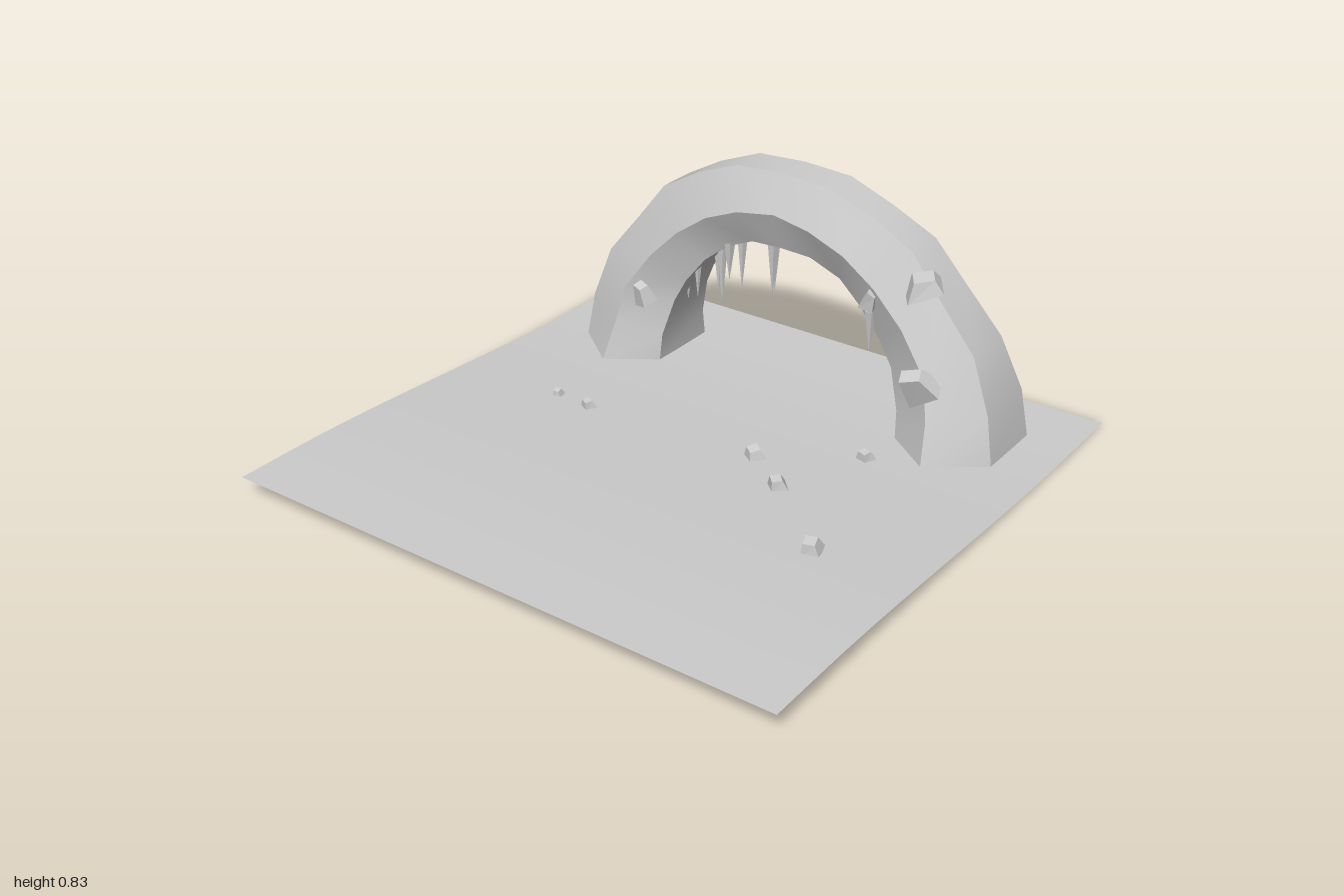
import * as THREE from 'three';

const grey = new THREE.MeshStandardMaterial({ color: 0xcccccc, side: THREE.DoubleSide });
const flat = new THREE.MeshStandardMaterial({ color: 0xcccccc, flatShading: true });

const groundHeight = z => 0.062 * THREE.MathUtils.smoothstep(z, -0.7, 0.8);

// Stations from foot to crown:
// outer x,y | ridge x,y | inner x,y | z of outer front/back, ridge front/back, inner front/back
const HALF = [
  [0.83, 0.00, 0.65, 0.00, 0.485, 0.00, -0.52, -0.78, -0.375, -0.89, -0.50, -0.78],
  [0.80, 0.17, 0.63, 0.14, 0.480, 0.10, -0.53, -0.77, -0.430, -0.85, -0.51, -0.76],
  [0.73, 0.36, 0.60, 0.28, 0.440, 0.24, -0.54, -0.73, -0.455, -0.81, -0.53, -0.73],
  [0.60, 0.52, 0.50, 0.42, 0.390, 0.33, -0.54, -0.71, -0.470, -0.77, -0.53, -0.70],
  [0.49, 0.66, 0.39, 0.53, 0.310, 0.43, -0.54, -0.69, -0.475, -0.75, -0.53, -0.69],
  [0.34, 0.745, 0.27, 0.615, 0.225, 0.50, -0.54, -0.67, -0.475, -0.74, -0.54, -0.67],
  [0.18, 0.81, 0.14, 0.67, 0.115, 0.55, -0.53, -0.665, -0.470, -0.745, -0.53, -0.67],
  [0.00, 0.82, 0.00, 0.69, 0.000, 0.555, -0.535, -0.665, -0.480, -0.727, -0.53, -0.67],
];

// Six corners of one cross-section, going round the arch
function section([ox, oy, rx, ry, ix, iy, of, ob, rf, rb, nf, nb], side) {
  return [
    [ox * side, oy, of], [ox * side, oy, ob], [rx * side, ry, rb],
    [ix * side, iy, nb], [ix * side, iy, nf], [rx * side, ry, rf],
  ];
}

// One band per side of the hexagon: smooth along the arch, sharp between bands
function buildArch() {
  const arch = new THREE.Group();
  arch.name = 'arch';
  const rings = [
    ...HALF.map(r => section(r, -1)),
    ...HALF.slice(0, -1).reverse().map(r => section(r, 1)),
  ];
  for (let k = 0; k < 6; k++) {
    const pos = [], idx = [];
    rings.forEach((ring, i) => {
      pos.push(...ring[k], ...ring[(k + 1) % 6]);
      if (i > 0) {
        const a = 2 * (i - 1);
        idx.push(a, a + 2, a + 1, a + 1, a + 2, a + 3);
      }
    });
    addSurface(arch, 'archBand', pos, idx);
  }
  // Soles of the feet, facing down
  [rings[0], rings[rings.length - 1]].forEach((ring, end) => {
    const idx = [];
    for (let k = 1; k < 5; k++) idx.push(0, ...(end ? [k + 1, k] : [k, k + 1]));
    addSurface(arch, 'footSole', ring.flat(), idx);
  });
  return arch;
}

function addSurface(parent, name, pos, idx) {
  const geo = new THREE.BufferGeometry();
  geo.setAttribute('position', new THREE.Float32BufferAttribute(pos, 3));
  geo.setIndex(idx);
  geo.computeVertexNormals();
  const mesh = new THREE.Mesh(geo, grey);
  mesh.name = name;
  parent.add(mesh);
}

// Chipped stone: a box with a narrow, skewed top
function addStone(parent, name, [x, y, z], [w, h, d], [rx, ry, rz]) {
  const geo = new THREE.BoxGeometry(w, h, d);
  const p = geo.attributes.position;
  for (let i = 0; i < p.count; i++) {
    if (p.getY(i) > 0) {
      p.setX(i, p.getX(i) * 0.55 + w * 0.12);
      p.setZ(i, p.getZ(i) * 0.6);
      if (p.getX(i) > w * 0.2) p.setY(i, p.getY(i) * 0.6);
    }
  }
  const mesh = new THREE.Mesh(geo, flat);
  mesh.name = name;
  mesh.position.set(x, y, z);
  mesh.rotation.set(rx, ry, rz);
  parent.add(mesh);
}

export function createModel() {
  const model = new THREE.Group();
  model.name = 'iceArch';

  // Gently rising ground sheet
  const geo = new THREE.PlaneGeometry(2, 2, 16, 24).rotateX(-Math.PI / 2);
  const p = geo.attributes.position;
  for (let i = 0; i < p.count; i++) p.setY(i, groundHeight(p.getZ(i)));
  geo.computeVertexNormals();
  const ground = new THREE.Mesh(geo, grey);
  ground.name = 'ground';
  model.add(ground);

  model.add(buildArch());

  // Icicles under the arch: x, top y, tip y, z
  const icicles = new THREE.Group();
  icicles.name = 'icicles';
  [
    [-0.43, 0.38, 0.22, -0.60], [-0.36, 0.47, 0.26, -0.56], [-0.32, 0.48, 0.25, -0.63],
    [-0.27, 0.52, 0.25, -0.58], [-0.235, 0.53, 0.29, -0.65], [-0.22, 0.53, 0.37, -0.55],
    [-0.08, 0.57, 0.33, -0.62], [-0.05, 0.57, 0.35, -0.56], [0.30, 0.47, 0.34, -0.62],
    [0.33, 0.46, 0.25, -0.57], [0.36, 0.43, 0.28, -0.52], [0.395, 0.40, 0.23, -0.62],
  ].forEach(([x, top, tip, z]) => {
    const cone = new THREE.Mesh(new THREE.ConeGeometry(0.022, top - tip, 5), flat);
    cone.name = 'icicle';
    cone.rotation.x = Math.PI;
    cone.position.set(x, (top + tip) / 2, z);
    icicles.add(cone);
  });
  model.add(icicles);

  // Stones stuck to the arch
  const chunks = new THREE.Group();
  chunks.name = 'archStones';
  [
    [[0.54, 0.575, -0.515], [0.12, 0.06, 0.10], [0.2, 0.6, 0.25]],
    [[0.58, 0.26, -0.44], [0.12, 0.11, 0.08], [0.5, 0.3, 0.5]],
    [[0.37, 0.49, -0.485], [0.05, 0.07, 0.05], [0.3, 0.2, -0.3]],
    [[-0.525, 0.275, -0.455], [0.06, 0.08, 0.06], [0.3, -0.3, 0.3]],
    [[-0.03, 0.62, -0.74], [0.10, 0.08, 0.06], [-0.4, 0.2, -0.4]],
  ].forEach(s => addStone(chunks, 'archStone', ...s));
  model.add(chunks);

  // Loose stones on the ground: x, z, size, turn
  const loose = new THREE.Group();
  loose.name = 'groundStones';
  [
    [-0.59, -0.05, 0.035, 0.2], [-0.45, -0.04, 0.045, 1.1], [0.19, -0.10, 0.06, -0.6],
    [0.36, 0.03, 0.06, 0.8], [0.65, 0.29, 0.065, 0.3], [0.48, -0.31, 0.05, 1.3],
  ].forEach(([x, z, s, turn]) =>
    addStone(loose, 'groundStone', [x, groundHeight(z) + s * 0.25, z], [s, s * 0.8, s], [0.2, turn, 0.2]));
  model.add(loose);

  return model;
}
